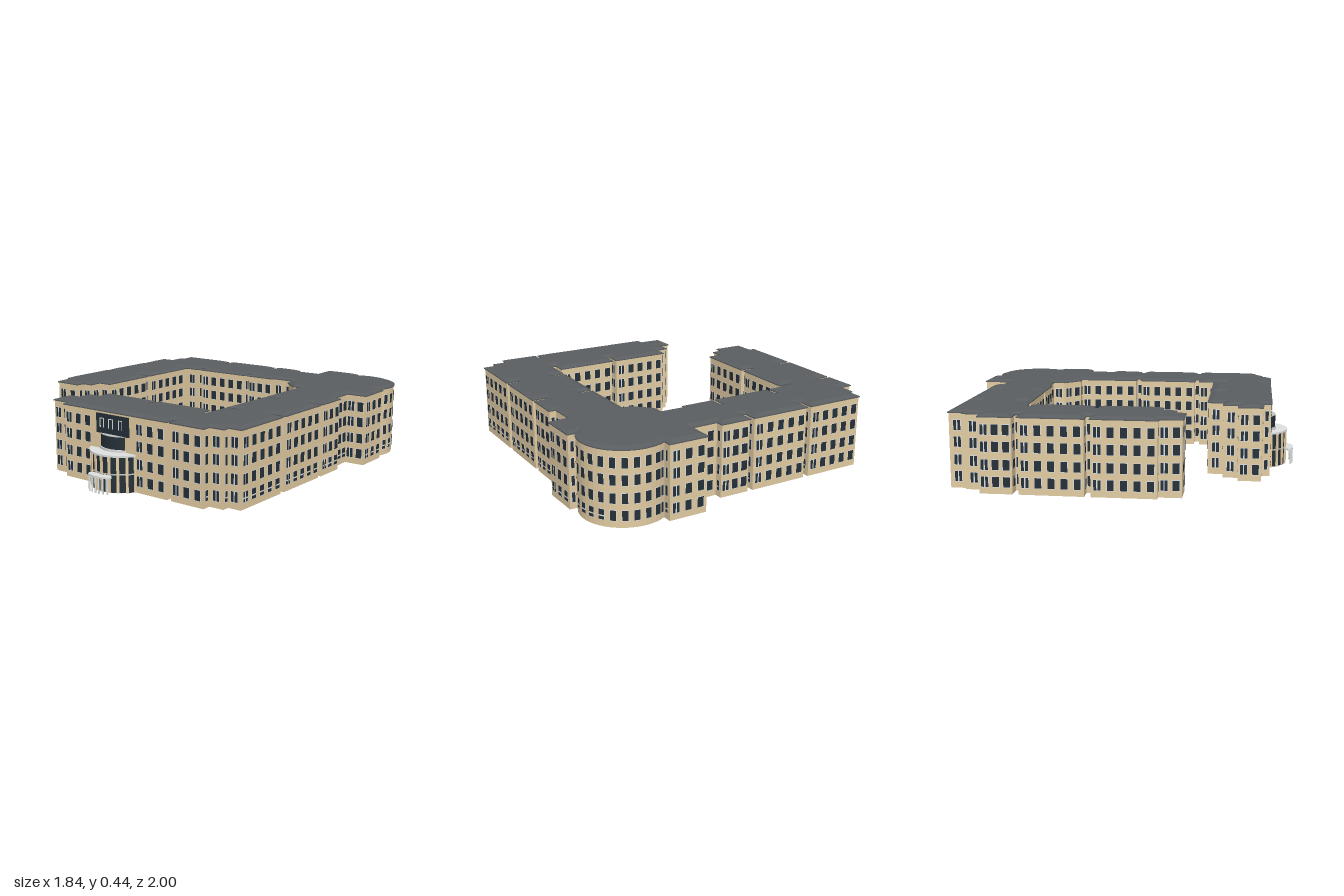
import * as THREE from 'three';
import { mergeGeometries } from 'three/addons/utils/BufferGeometryUtils.js';

const mat = (name, color, side = THREE.FrontSide) => {
  const m = new THREE.MeshStandardMaterial({ color, side });
  m.name = name;
  return m;
};

// Narrow slot between blocks; (ux, uz) is the walking direction along the facade
const slot = (x, z, ux, uz, depth = 0.08, w = 0.011) => [
  [x - ux * w, z - uz * w],
  [x - ux * w - uz * depth, z - uz * w + ux * depth],
  [x + ux * w - uz * depth, z + uz * w + ux * depth],
  [x + ux * w, z + uz * w],
];

const BAY = { x: 0.66, z: -0.722, r: 0.25 };

// Footprint as (x, z), walked north wing, east wing, south wing, courtyard, west wing
function footprint() {
  const arc = [];
  for (let i = 0; i <= 20; i++) {
    const a = THREE.MathUtils.degToRad(-117 + (146 * i) / 20);
    arc.push([BAY.x + BAY.r * Math.cos(a), BAY.z + BAY.r * Math.sin(a)]);
  }
  const north = [[-0.805, -0.915], ...slot(-0.433, -0.908, 1, 0), ...slot(-0.043, -0.9, 1, 0),
    [0.157, -0.895], [0.157, -0.848], [0.312, -0.848], [0.312, -1], [0.547, -0.995]];
  const east = [[0.92, -0.601], [0.92, -0.371], [0.799, -0.371], [0.799, -0.213], [0.84, -0.213],
    ...slot(0.837, 0.001, 0, 1), ...slot(0.831, 0.39, 0, 1),
    [0.825, 0.783], [0.746, 0.783], [0.746, 0.825], [0.657, 0.825], [0.657, 0.878]];
  const south = [...slot(0.42, 0.87, -1, 0, 0.065, 0.008), [0.18, 0.8645], [-0.13, 0.8573],
    [-0.356, 0.852], [-0.356, 0.805], [-0.488, 0.8],
    [-0.488, 0.655], [-0.42, 0.655], [-0.42, 0.571], [-0.34, 0.571], [-0.34, 0.481],
    ...slot(0.034, 0.491, 1, 0), [0.417, 0.496], [0.417, 0.581], [0.443, 0.581]];
  const court = [...slot(0.449, 0.39, 0, -1), ...slot(0.46, 0.001, 0, -1),
    [0.465, -0.376], [0.413, -0.376], [0.316, -0.472], [0.316, -0.541], [0.168, -0.546], [0.168, -0.525],
    ...slot(-0.044, -0.528, -1, 0), ...slot(-0.433, -0.53, -1, 0),
    [-0.536, -0.532], [-0.536, -0.52], [-0.62, -0.52], [-0.62, -0.505], [-0.54, -0.505]];
  const west = [...slot(-0.546, -0.127, 0, 1), [-0.551, 0.248], [-0.636, 0.248], [-0.636, 0.328],
    [-0.704, 0.328], [-0.704, 0.381], [-0.884, 0.375], [-0.884, 0.248], [-0.92, 0.248],
    ...slot(-0.917, -0.132, 0, -1), ...slot(-0.91, -0.522, 0, -1),
    [-0.91, -0.725], [-0.831, -0.725], [-0.831, -0.825], [-0.805, -0.825]];
  return [...north, ...arc, ...east, ...south, ...court, ...west];
}

const edge = (a, b) => {
  const dx = b[0] - a[0], dz = b[1] - a[1], len = Math.hypot(dx, dz);
  return { len, ux: dx / len, uz: dz / len, nx: dz / len, nz: -dx / len };
};

// Mitred inward offset of a closed outline
const inset = (pts, d) => pts.map((p, i) => {
  const A = edge(pts[(i + pts.length - 1) % pts.length], p), B = edge(p, pts[(i + 1) % pts.length]);
  const k = d / (1 + A.nx * B.nx + A.nz * B.nz);
  return [p[0] - (A.nx + B.nx) * k, p[1] - (A.nz + B.nz) * k];
});

// Strip of quads between two matching outlines, for the edges kept
function loft(low, y0, high, y1, keep = () => true) {
  const v = [];
  low.forEach((a, i) => {
    if (!keep(i)) return;
    const j = (i + 1) % low.length, b = low[j], c = high[j], d = high[i];
    v.push(a[0], y0, a[1], d[0], y1, d[1], c[0], y1, c[1]);
    v.push(a[0], y0, a[1], c[0], y1, c[1], b[0], y0, b[1]);
  });
  const g = new THREE.BufferGeometry();
  g.setAttribute('position', new THREE.Float32BufferAttribute(v, 3));
  g.computeVertexNormals();
  return g;
}

// Box facing (nx, nz), and a flat panel lifted off a facade
const plate = (x, y, z, nx, nz, w, h, t) =>
  new THREE.BoxGeometry(w, h, t).rotateY(Math.atan2(nx, nz)).translate(x, y, z);
const panel = (x, y, z, e, w, h, lift) =>
  new THREE.PlaneGeometry(w, h).rotateY(Math.atan2(e.nx, e.nz)).translate(x + e.nx * lift, y, z + e.nz * lift);

// Flat slab from a plan shape (shape y becomes z)
const slab = (shape, cx, cz, y0, y1) =>
  new THREE.ExtrudeGeometry(shape, { depth: y1 - y0, bevelEnabled: false, curveSegments: 24 })
    .rotateX(Math.PI / 2).translate(cx, y1, cz);

// Slab shaped as a circular segment bulging to +z
function segmentSlab(cx, cz, r, half, y0, y1) {
  const s = new THREE.Shape();
  s.absarc(0, 0, r, Math.PI / 2 - half, Math.PI / 2 + half, false);
  s.closePath();
  return slab(s, cx, cz, y0, y1);
}

export function createModel() {
  const model = new THREE.Group();
  model.name = 'courtyardBuilding';
  const stone = mat('sandstone', 0xe4cda3, THREE.DoubleSide);
  const slate = mat('slateRoof', 0x5a5e61, THREE.DoubleSide);
  const glass = mat('darkGlass', 0x253038, THREE.DoubleSide);
  const trim = mat('paleTrim', 0xdfe1e1);
  const grey = mat('greyCap', 0xc2c4c4);
  const add = (name, geo, material) => {
    const m = new THREE.Mesh(geo, material);
    m.name = name;
    model.add(m);
  };

  // Walls, open underneath and behind the entrance hall
  const eaves = footprint();
  const walls = inset(eaves, 0.006);
  const n = walls.length;
  const edges = walls.map((p, i) => edge(p, walls[(i + 1) % n]));
  const door = walls.findIndex(([x, z]) => z > 0.84 && Math.abs(x - 0.18) < 0.01);
  add('walls', mergeGeometries([loft(walls, 0, walls, 0.42, (i) => i !== door),
    loft(walls, 0.2, walls, 0.42, (i) => i === door)]), stone);

  // Roof: soffit, fascia, sloped rim and flat top
  const rim = inset(eaves, 0.035);
  add('roofEdge', mergeGeometries([loft(walls, 0.419, eaves, 0.419), loft(eaves, 0.419, eaves, 0.425),
    loft(eaves, 0.425, rim, 0.436)]), slate);
  const top = new THREE.Shape(rim.map(([x, z]) => new THREE.Vector2(x, -z)));
  add('roofTop', new THREE.ShapeGeometry(top).rotateX(-Math.PI / 2).translate(0, 0.436, 0), slate);

  // Windows: four storeys along every facade, a narrow pair at one end of each block
  const panes = [], frames = [];
  const rows = [0.067, 0.161, 0.26, 0.353];
  const H = 0.056;
  const windowAt = (x, z, e, w) => rows.forEach((y, r) => {
    frames.push(panel(x, y, z, e, w + 0.007, H + 0.007, 0.0015));
    panes.push(panel(x, y, z, e, w, H, 0.003));
    if (r === 0 && e.nx > 0.7) frames.push(panel(x, y - 0.006, z, e, w, 0.008, 0.0045));
  });
  const onBay = (p) => Math.abs(Math.hypot(p[0] - BAY.x, p[1] - BAY.z) - BAY.r + 0.006) < 0.003;
  let bayCount = 0;
  walls.forEach((p, i) => {
    const e = edges[i];
    const at = (t) => [p[0] + e.ux * t, p[1] + e.uz * t];
    if (e.len < 0.04 && onBay(p)) {
      if (bayCount++ % 2 === 0) windowAt(...at(e.len / 2), e, 0.031);
      return;
    }
    const inSlot = e.len < 0.083 && Math.min(edges[(i + n - 1) % n].len, edges[(i + 1) % n].len) < 0.03;
    if (e.len < 0.03 || inSlot || i === door) return;
    if (e.len < 0.055) return windowAt(...at(e.len / 2), e, 0.018);
    const count = Math.max(1, Math.round(e.len / 0.068));
    for (let k = 0; k < count; k++) {
      const t = ((k + 0.5) * e.len) / count;
      if (k === count - 1) for (const s of [-0.0115, 0.0115]) windowAt(...at(t + s), e, 0.016);
      else windowAt(...at(t), e, 0.037);
    }
  });
  add('windowPanes', mergeGeometries(panes), glass);
  add('windowFrames', mergeGeometries(frames), trim);

  // Entrance: curved glazed hall with stone piers, a mid floor and pale canopy
  const cx = 0.025, cz = 0.774, half = 1.1, r = 0.177;
  add('entranceGlass', new THREE.CylinderGeometry(r, r, 0.2, 24, 1, true, -half, 2 * half)
    .translate(cx, 0.1, cz), glass);
  add('entranceCanopy', segmentSlab(cx, cz, 0.187, 1.123, 0.2, 0.211), trim);
  add('entranceFloorBand', segmentSlab(cx, cz, r + 0.003, half, 0.1, 0.107), grey);
  const piers = [];
  for (let i = 0; i <= 8; i++) {
    const a = -half + (2 * half * i) / 8, s = Math.sin(a), c = Math.cos(a);
    piers.push(plate(cx + s * r, 0.1, cz + c * r, s, c, i % 8 ? 0.015 : 0.022, 0.2, 0.014));
  }
  add('entrancePiers', mergeGeometries(piers), stone);

  // Shallow curved window above the hall, with a grey cap
  add('upperBayGlass', segmentSlab(cx, 0.737, 0.15, 0.63, 0.211, 0.295), glass);
  add('upperBayLedge', segmentSlab(cx, 0.737, 0.155, 0.66, 0.211, 0.225), trim);
  add('upperBayCap', segmentSlab(cx, 0.737, 0.151, 0.63, 0.295, 0.299), grey);

  // Dark glazed panel on the top floor with pale window outlines
  add('topPanel', plate(cx, 0.353, 0.857, -0.023, 1, 0.24, 0.11, 0.009), glass);
  const bars = [];
  for (const x of [-0.075, -0.01, 0.06]) {
    const w = x === -0.01 ? 0.03 : 0.024;
    bars.push(plate(cx + x, 0.383, 0.863, 0, 1, w, 0.004, 0.004));
    for (const s of [-1, 1]) bars.push(plate(cx + x + (s * w) / 2, 0.358, 0.863, 0, 1, 0.004, 0.054, 0.004));
  }
  add('topPanelBars', mergeGeometries(bars), trim);

  // Porch: small flared roof on slender columns with doors behind
  const porch = new THREE.Shape();
  porch.moveTo(-0.06, 0.94);
  porch.lineTo(0.06, 0.94);
  porch.lineTo(0.082, 0.965);
  porch.lineTo(0.07, 0.986);
  porch.quadraticCurveTo(0, 1.014, -0.07, 0.986);
  porch.lineTo(-0.082, 0.965);
  add('porchRoof', slab(porch, cx, 0, 0.088, 0.098), trim);
  const columns = [];
  for (let i = 0; i < 6; i++) {
    const x = -0.065 + i * 0.026;
    columns.push(new THREE.CylinderGeometry(0.005, 0.005, 0.09, 10)
      .translate(cx + x, 0.045, 0.993 - 2.5 * x * x));
  }
  add('porchColumns', mergeGeometries(columns), trim);
  const doors = [-0.03, 0, 0.03].map((x) => plate(cx + x, 0.042, 0.951, 0, 1, 0.005, 0.084, 0.008));
  add('doorFrames', mergeGeometries(doors), trim);

  return model;
}
